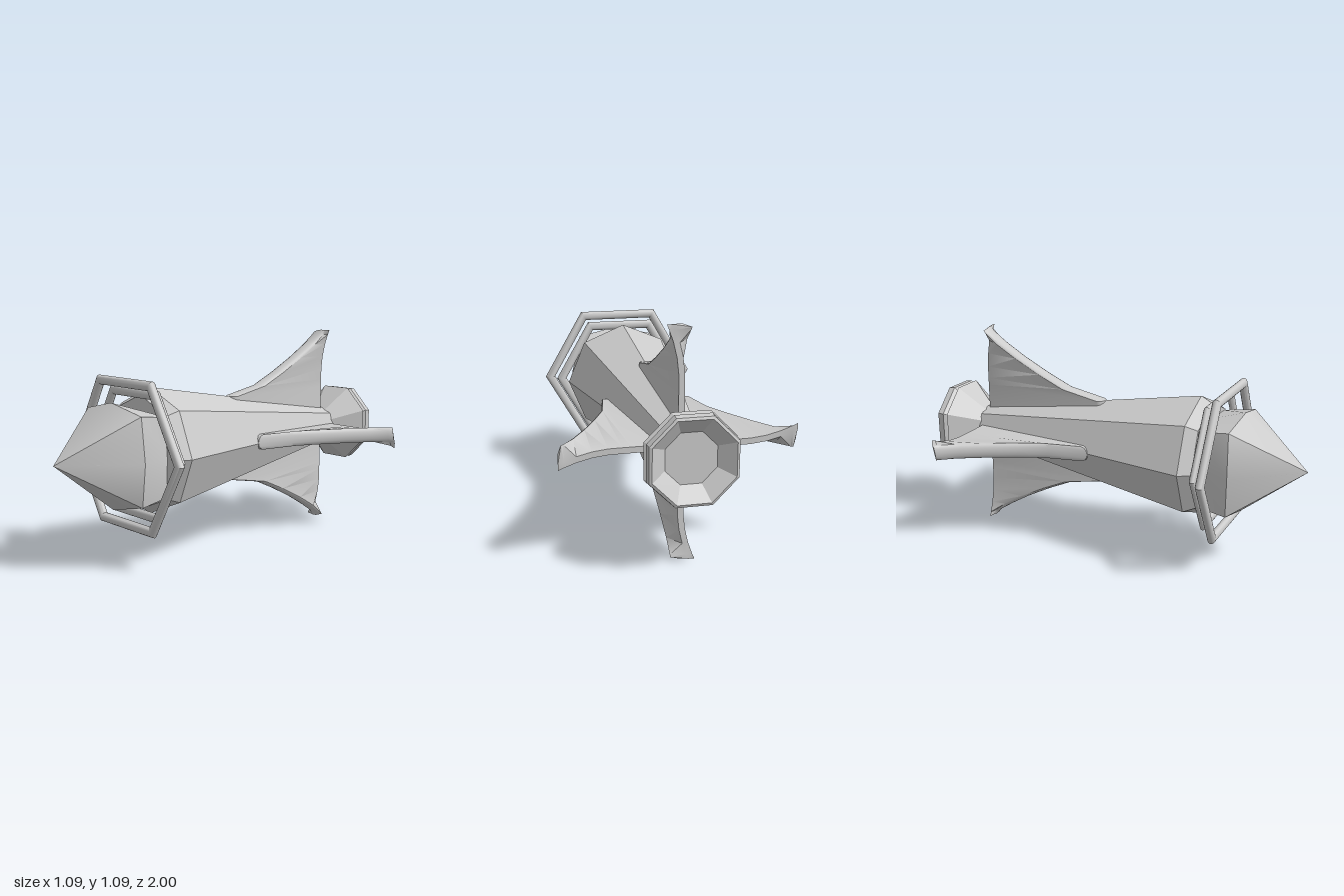
import * as THREE from 'three';
import { toCreasedNormals } from 'three/addons/utils/BufferGeometryUtils.js';

const material = new THREE.MeshStandardMaterial({ color: 0xcccccc });
const AXIS_Y = 0.55;

// Skin a stack of closed loops (counter-clockwise about the stacking direction) and cap both ends
function loft(loops, crease) {
  const n = loops[0].length;
  const positions = loops.flat(2);
  const index = [];
  for (let r = 0; r < loops.length - 1; r++) {
    for (let i = 0; i < n; i++) {
      const a = r * n + i, b = r * n + (i + 1) % n;
      index.push(a, b, b + n, a, b + n, a + n);
    }
  }
  const last = (loops.length - 1) * n;
  for (let i = 1; i < n - 1; i++) {
    index.push(0, i + 1, i, last, last + i, last + i + 1);
  }
  const geometry = new THREE.BufferGeometry();
  geometry.setAttribute('position', new THREE.Float32BufferAttribute(positions, 3));
  geometry.setIndex(index);
  return toCreasedNormals(geometry, crease);
}

// Eight-sided loop; the four axis corners and four diagonal corners may differ
function octagon(rAxis, zAxis, rDiagonal = rAxis, zDiagonal = zAxis, turn = 0) {
  return Array.from({ length: 8 }, (_, i) => {
    const a = i * Math.PI / 4 + turn;
    const r = i % 2 ? rDiagonal : rAxis;
    return [r * Math.cos(a), r * Math.sin(a), i % 2 ? zDiagonal : zAxis];
  });
}

// Fin pointing up: wide rounded leading edge, thin trailing edge that hooks sideways at the tip
function finGeometry() {
  const stations = [[0.06, -0.05], [0.223, -0.07], [0.262, -0.27], [0.325, -0.41],
    [0.397, -0.55], [0.465, -0.665], [0.52, -0.75], [0.545, -0.768]];
  const back = -0.78;
  const loops = stations.map(([h, front]) => {
    const depth = Math.min(0.035, (front - back) * 0.6);
    const hook = 0.055 * Math.max(0, (h - 0.3) / 0.245) ** 2;
    const loop = [];
    for (let i = 0; i <= 6; i++) {
      const a = Math.PI * (1 - i / 6);
      loop.push([-0.005 + 0.039 * Math.cos(a), h, front - depth * (1 - Math.sin(a))]);
    }
    loop.push([hook + 0.014, h, back], [hook - 0.014, h, back]);
    // The outer end is slightly lower on the side away from the hook
    if (h > 0.54) loop.forEach(p => { p[1] -= Math.max(0, -p[0]) * 0.35; });
    return loop;
  });
  return loft(loops, 0.7);
}

export function createModel() {
  const model = new THREE.Group();
  model.name = 'rocket';
  model.position.y = AXIS_Y;

  const add = (geometry, name) => {
    const mesh = new THREE.Mesh(geometry, material);
    mesh.name = name;
    model.add(mesh);
    return mesh;
  };

  // Tapering octagonal hull
  add(loft([octagon(0.098, -0.8), octagon(0.312, 0.45), octagon(0.28, 0.51)], 0.05), 'hull');

  // Squarish pointed nose with bowed sides
  add(loft([
    octagon(0.2, 0.5, 0.27, 0.5),
    octagon(0.257, 0.68, 0.3, 0.665),
    octagon(0.0005, 1),
  ], 0.6), 'noseCone');

  // Flared nozzle: bowl floor, rim band, groove, then the outer flare
  const nozzle = [[0.125, -0.94], [0.2, -1], [0.213, -0.995], [0.218, -0.96], [0.207, -0.947],
    [0.2, -0.942], [0.222, -0.932], [0.09, -0.79]];
  add(loft(nozzle.map(([r, z]) => octagon(r, z, r, z, Math.PI / 8)), 0.05), 'nozzle');

  // Two hexagonal rings floating round the nose
  for (const [name, radius, z, flat] of [['outerRing', 0.397, 0.598, 0.8], ['innerRing', 0.339, 0.543, 0.65]]) {
    const ring = add(toCreasedNormals(new THREE.TorusGeometry(radius, 0.027, 16, 6), 0.7), name);
    ring.position.z = z;
    ring.scale.z = flat;
  }

  // Four fins, each a quarter turn from the last
  const fin = finGeometry();
  ['topFin', 'rightFin', 'bottomFin', 'leftFin'].forEach((name, i) => {
    add(fin, name).rotation.z = i * Math.PI / 2;
  });

  return model;
}
